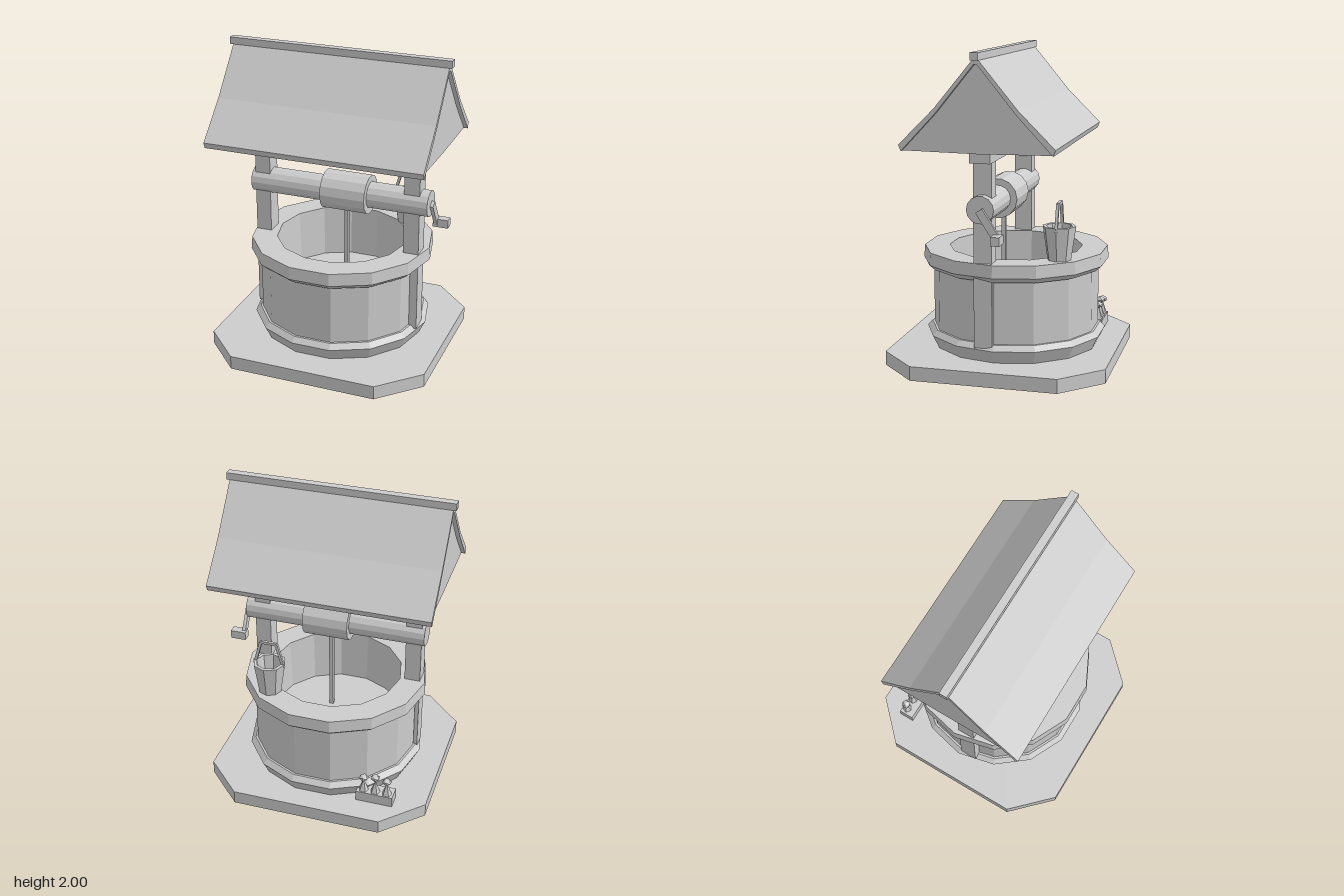
import * as THREE from 'three';

export function createModel() {
  const root = new THREE.Group();
  root.name = 'wishingWell';
  const grey = new THREE.MeshStandardMaterial({ color: 0xcccccc, flatShading: true, side: THREE.DoubleSide });
  grey.name = 'plain grey';

  const add = (name, geometry, x = 0, y = 0, z = 0, parent = root) => {
    const mesh = new THREE.Mesh(geometry, grey);
    mesh.name = name;
    mesh.position.set(x, y, z);
    parent.add(mesh);
    return mesh;
  };
  // Box given by its minimum and maximum on each axis
  const block = (name, [x0, x1], [y0, y1], [z0, z1]) =>
    add(name, new THREE.BoxGeometry(x1 - x0, y1 - y0, z1 - z0), (x0 + x1) / 2, (y0 + y1) / 2, (z0 + z1) / 2);
  const outline = (pts) => new THREE.Shape(pts.map(([x, y]) => new THREE.Vector2(x, y)));
  // Faceted solid of revolution
  const turned = (pts, sides, start) =>
    new THREE.LatheGeometry(pts.map(([r, y]) => new THREE.Vector2(r, y)), sides, start).toNonIndexed();
  // Square bar between two points
  const bar = (name, a, b, width, parent = root) => {
    const from = new THREE.Vector3(...a), dir = new THREE.Vector3(...b).sub(from);
    const mesh = add(name, new THREE.BoxGeometry(width, dir.length(), width), 0, 0, 0, parent);
    mesh.position.copy(from).addScaledVector(dir, 0.5);
    mesh.quaternion.setFromUnitVectors(new THREE.Vector3(0, 1, 0), dir.normalize());
    return mesh;
  };

  // Octagonal paving slab
  const slab = new THREE.ExtrudeGeometry(outline([
    [0.485, -0.707], [0.732, -0.46], [0.732, 0.46], [0.485, 0.707],
    [-0.485, 0.707], [-0.732, 0.46], [-0.732, -0.46], [-0.485, -0.707],
  ]), { depth: 0.09, bevelEnabled: false }).rotateX(-Math.PI / 2);
  add('baseSlab', slab);

  // Well: fourteen-sided foot, wall, rim and hollow shaft
  const wellZ = -0.025, half = Math.PI / 14;
  add('wellFoot', turned([[0.53, 0.09], [0.54, 0.09], [0.582, 0.175], [0.55, 0.208], [0.5, 0.208]], 14, half), 0, 0, wellZ);
  add('wellWall', turned([[0.536, 0.09], [0.536, 0.63]], 14, half), 0, 0, wellZ);
  add('wellRim', turned([[0.53, 0.605], [0.56, 0.605], [0.6, 0.64], [0.593, 0.72], [0.43, 0.72]], 14, half), 0, 0, wellZ);
  add('wellShaft', turned([[0.43, 0.72], [0.415, 0.38]], 14, half), 0, 0, wellZ);
  add('water', new THREE.CylinderGeometry(0.42, 0.42, 0.02, 14, 1, false, half), 0, 0.37, wellZ);

  // Posts, long diagonal braces and the beam across the top
  const midZ = 0.043;
  for (const s of [1, -1]) {
    add('post', new THREE.BoxGeometry(0.102, 1.19, 0.115), s * 0.508, 0.78, midZ);
    const brace = add('brace', new THREE.BoxGeometry(0.07, 0.46, 0.06), s * 0.369, 1.412, midZ);
    brace.rotation.z = s * 0.607;
  }
  block('crossBeam', [-0.62, 0.615], [1.34, 1.45], [midZ - 0.065, midZ + 0.065]);

  // Flared roof shell, open below, with a closing board set into each gable
  const roofZ = midZ - 0.003;
  const slope = [[0.477, 1.45], [0.255, 1.67], [0.015, 1.96]];
  const under = [[0.01, 1.93], [0.247, 1.64], [0.462, 1.412]];
  const flip = (pts) => pts.map(([a, b]) => [-a, b]).reverse();
  const extrudeAlongX = (pts, depth) =>
    new THREE.ExtrudeGeometry(outline(pts), { depth, bevelEnabled: false }).rotateY(Math.PI / 2);
  add('roof', extrudeAlongX([...slope, ...flip(slope), ...flip(under), ...under], 1.412), -0.706, 0, roofZ);
  const gable = [[-0.462, 1.414], [0, 1.407], [0.462, 1.414], [0.25, 1.645], [0, 1.94], [-0.25, 1.645]];
  for (const s of [1, -1]) add('gableBoard', extrudeAlongX(gable, 0.01), s * 0.675 - 0.005, 0, roofZ);
  block('ridgeCap', [-0.725, 0.725], [1.955, 2], [0.018, 0.068]);

  // Winding roller, rope drum, crank and rope
  const axleY = 1.06;
  const roller = (name, r, x0, x1) =>
    add(name, new THREE.CylinderGeometry(r, r, x1 - x0, 14).rotateZ(Math.PI / 2), (x0 + x1) / 2, axleY, midZ);
  roller('roller', 0.086, -0.58, 0.615);
  roller('ropeDrum', 0.128, -0.085, 0.215);
  const arm = add('crankArm', new THREE.BoxGeometry(0.022, 0.22, 0.048), 0.625, 0.968, -0.015);
  arm.rotation.x = Math.atan2(0.11, 0.17);
  block('crankHandle', [0.605, 0.705], [0.865, 0.92], [-0.1, -0.045]);
  bar('rope', [0.055, 0.37, midZ], [0.055, 1, midZ], 0.027);

  // Bucket standing on the rim
  const bucket = new THREE.Group();
  bucket.name = 'bucket';
  bucket.position.set(0.333, 0.72, -0.382);
  root.add(bucket);
  add('bucketBody', turned([[0, 0], [0.074, 0], [0.105, 0.212], [0.083, 0.212], [0.068, 0.09], [0, 0.09]], 8, 0), 0, 0, 0, bucket);
  const grip = [[-0.095, 0.19, 0], [-0.05, 0.352, 0], [0.05, 0.352, 0], [0.095, 0.19, 0]];
  for (let i = 0; i < 3; i++) bar('bucketHandle', grip[i], grip[i + 1], 0.018, bucket);

  // Flower box behind the well
  block('flowerBox', [-0.53, -0.29], [0.09, 0.16], [-0.545, -0.445]);
  [-0.487, -0.41, -0.333].forEach((x, i) => {
    const z = -0.512, y = 0.258 + 0.015 * (i % 2);
    add('flowerLeaves', new THREE.ConeGeometry(0.036, 0.1, 5), x, 0.2, z);
    add('flowerHead', new THREE.IcosahedronGeometry(0.032, 0).scale(1, 0.7, 1), x, y, z);
  });

  return root;
}
